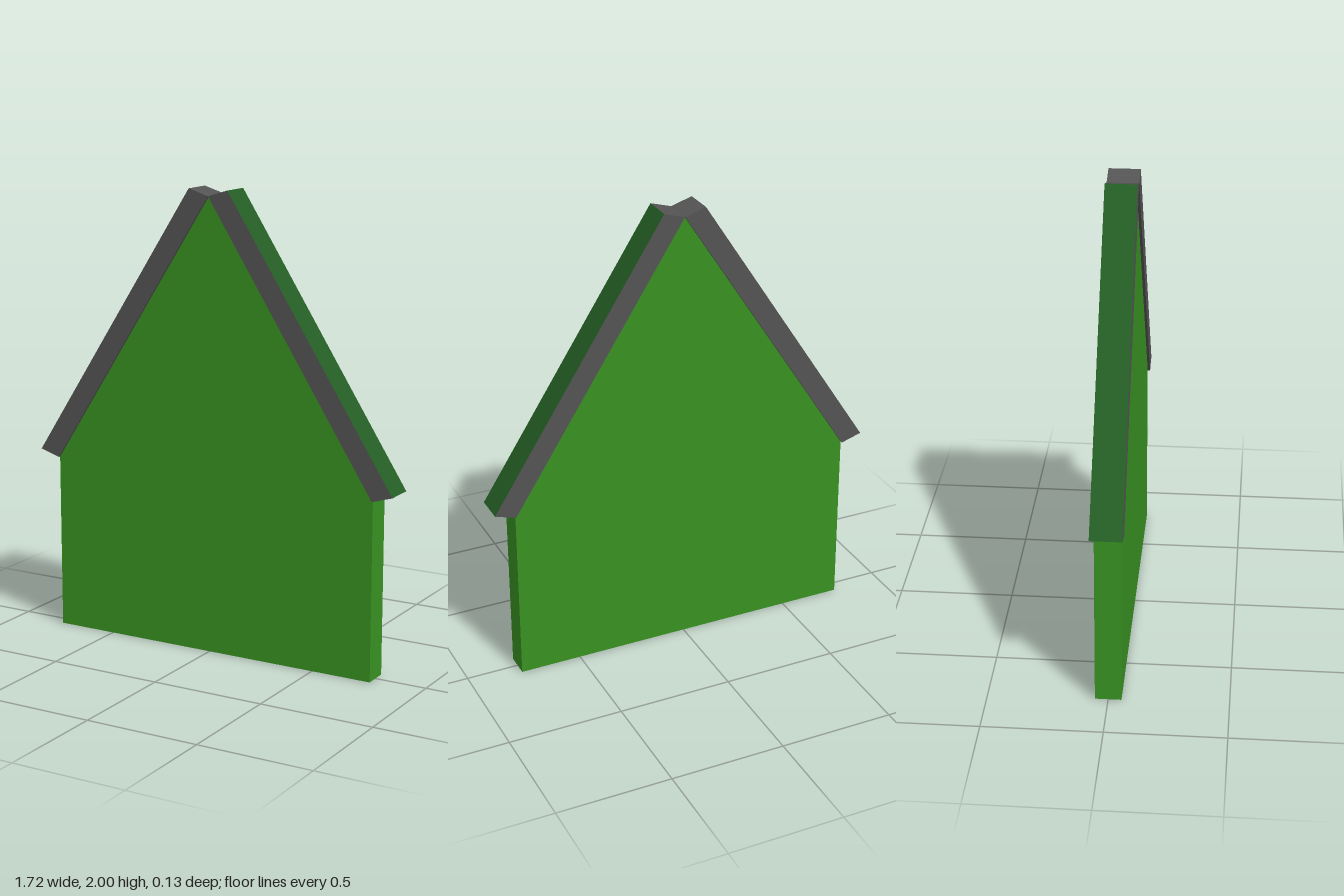
import * as THREE from 'three';

const HALF_WIDTH = 0.77, EAVE = 0.775, APEX = 1.972;
const WALL_DEPTH = 0.11, ROOF_DEPTH = 0.132;

function material(name, color) {
  const m = new THREE.MeshStandardMaterial({ color });
  m.name = name;
  return m;
}

// Box sheared into a slab: x runs down the slope, y is the thickness
function slabGeometry() {
  const geometry = new THREE.BoxGeometry(1, 1, ROOF_DEPTH);
  const p = geometry.attributes.position;
  for (let i = 0; i < p.count; i++) {
    const u = p.getX(i) + 0.5, v = p.getY(i) + 0.5;
    p.setXY(i, u * HALF_WIDTH + v * 0.092, APEX + u * (EAVE - APEX) + v * 0.028);
  }
  geometry.computeVertexNormals();
  return geometry;
}

export function createModel() {
  const green = material('wall green', 0x389222);
  const darkGreen = material('roof dark green', 0x255f25);
  const grey = material('trim grey', 0x545454);
  const model = new THREE.Group();
  model.name = 'gableHouse';

  // Gabled wall panel
  const outline = new THREE.Shape([
    [-HALF_WIDTH, 0], [HALF_WIDTH, 0], [HALF_WIDTH, EAVE], [0, APEX], [-HALF_WIDTH, EAVE],
  ].map(([x, y]) => new THREE.Vector2(x, y)));
  const wallGeometry = new THREE.ExtrudeGeometry(outline, { depth: WALL_DEPTH, bevelEnabled: false });
  wallGeometry.translate(0, 0, -WALL_DEPTH / 2);
  const wall = new THREE.Mesh(wallGeometry, green);
  wall.name = 'gableWall';
  model.add(wall);

  // Two roof slabs: dark green outer face, grey edges
  const slab = slabGeometry();
  const faces = [grey, grey, darkGreen, grey, grey, grey];
  for (const [name, turn] of [['leftRoof', 0], ['rightRoof', Math.PI]]) {
    const roof = new THREE.Mesh(slab, faces);
    roof.name = name;
    roof.rotation.y = turn;
    model.add(roof);
  }
  return model;
}
